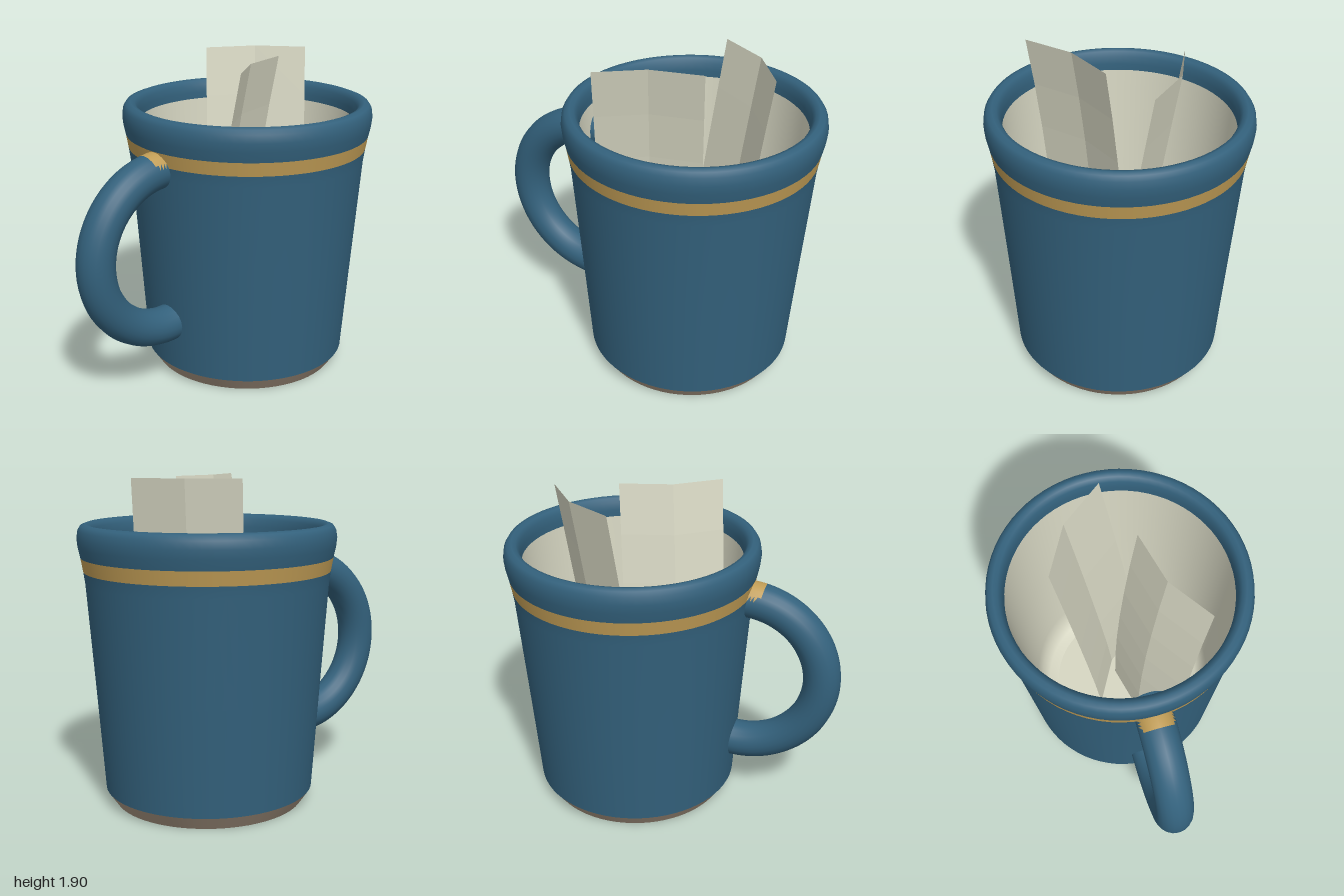
import * as THREE from 'three';

const CX = 0.26; // mug axis

const mat = (name, color, side = THREE.FrontSide) => {
  const m = new THREE.MeshStandardMaterial({ color, side });
  m.name = name;
  return m;
};

function mesh(name, geometry, material) {
  const m = new THREE.Mesh(geometry, material);
  m.name = name;
  return m;
}

// Surface of revolution about the mug axis; points are [radius, y]
function turned(name, points, material) {
  const g = new THREE.LatheGeometry(points.map(([r, y]) => new THREE.Vector2(r, y)), 72);
  g.translate(CX, 0, 0);
  return mesh(name, g, material);
}

// Folded sheet: plan line of the top edge, curving by (dx, dz) towards the floor
function foldedSheet(name, top, [dx, dz], power, material) {
  const rows = 6, yTop = 1.9, yBottom = 0.14, pos = [], index = [];
  for (let r = 0; r <= rows; r++) {
    const t = r / rows;
    const k = 1 - Math.pow(1 - t, power);
    for (const [x, z] of top) pos.push(x + dx * k, yTop + (yBottom - yTop) * t, z + dz * k);
  }
  const n = top.length;
  for (let r = 0; r < rows; r++) {
    for (let c = 0; c < n - 1; c++) {
      const a = r * n + c, b = a + n;
      index.push(a, b, b + 1, a, b + 1, a + 1);
    }
  }
  let g = new THREE.BufferGeometry();
  g.setAttribute('position', new THREE.Float32BufferAttribute(pos, 3));
  g.setIndex(index);
  g = g.toNonIndexed(); // crisp folds
  g.computeVertexNormals();
  return mesh(name, g, material);
}

export function createModel() {
  const blue = mat('blue glaze', 0x33617c);
  const gold = mat('gold band', 0xc09c55);
  const cream = mat('cream', 0xd6d6c2, THREE.DoubleSide);
  const clay = mat('bare clay', 0xa59380);
  const model = new THREE.Group();
  model.name = 'mug';

  // Mug shell
  const mug = new THREE.Group();
  mug.name = 'cup';
  mug.add(
    turned('footUnderside', [[0, 0.05], [0.47, 0.05], [0.49, 0.035], [0.53, 0.005], [0.56, 0]], clay),
    turned('footBevel', [[0.56, 0], [0.615, 0.08]], clay),
    turned('outerWall', [[0.615, 0.08], [0.659, 0.7], [0.703, 1.3], [0.713, 1.37]], blue),
    turned('band', [[0.713, 1.37], [0.727, 1.45]], gold),
    turned('rim', [[0.727, 1.45], [0.74, 1.51], [0.745, 1.56], [0.738, 1.605], [0.722, 1.63],
      [0.695, 1.64], [0.67, 1.632], [0.652, 1.605], [0.646, 1.56], [0.645, 1.52]], blue),
    turned('innerWall', [[0.645, 1.52], [0.605, 0.9], [0.565, 0.3], [0.545, 0.19], [0.5, 0.14], [0.44, 0.125]], cream),
    turned('innerFloor', [[0.44, 0.125], [0, 0.125]], cream)
  );
  model.add(mug);

  // Handle: part of a ring, its top root painted gold where the band runs over it
  const R = 0.48, tube = 0.11, hx = -0.41, hy = 0.86, over = 0.145;
  const ring = new THREE.TorusGeometry(R, tube, 20, 96, Math.PI + 2 * over);
  ring.rotateZ(Math.PI / 2 - over);
  ring.translate(hx, hy, 0);
  const p = ring.attributes.position, id = ring.index.array;
  const plain = [], painted = [];
  for (let i = 0; i < id.length; i += 3) {
    const f = [id[i], id[i + 1], id[i + 2]];
    const x = f.reduce((s, v) => s + p.getX(v), 0) / 3;
    const y = f.reduce((s, v) => s + p.getY(v), 0) / 3;
    (x > -0.53 && x < -0.44 && y > 1.385 ? painted : plain).push(...f);
  }
  ring.setIndex([...plain, ...painted]);
  ring.clearGroups();
  ring.addGroup(0, plain.length, 0);
  ring.addGroup(plain.length, painted.length, 1);
  const handle = new THREE.Group();
  handle.name = 'handle';
  handle.add(mesh('handleRing', ring, [blue, gold]));
  for (const s of [1, -1]) {
    const cap = mesh(s > 0 ? 'upperHandleEnd' : 'lowerHandleEnd', new THREE.CircleGeometry(tube, 20), blue);
    cap.position.set(hx + R * Math.sin(over), hy + s * R * Math.cos(over), 0);
    cap.rotation.set(0, Math.PI / 2, -s * over, 'ZYX');
    handle.add(cap);
  }
  model.add(handle);

  // Folded sheets standing in the mug
  model.add(
    foldedSheet('frontSheet', [[-0.17, 0.385], [0.08, 0.21], [0.385, 0.135]], [-0.08, -0.175], 1.8, cream),
    foldedSheet('backSheet', [[0.275, -0.375], [0.55, -0.225], [0.74, 0.02]], [-0.16, 0.185], 1.15, cream)
  );
  return model;
}
